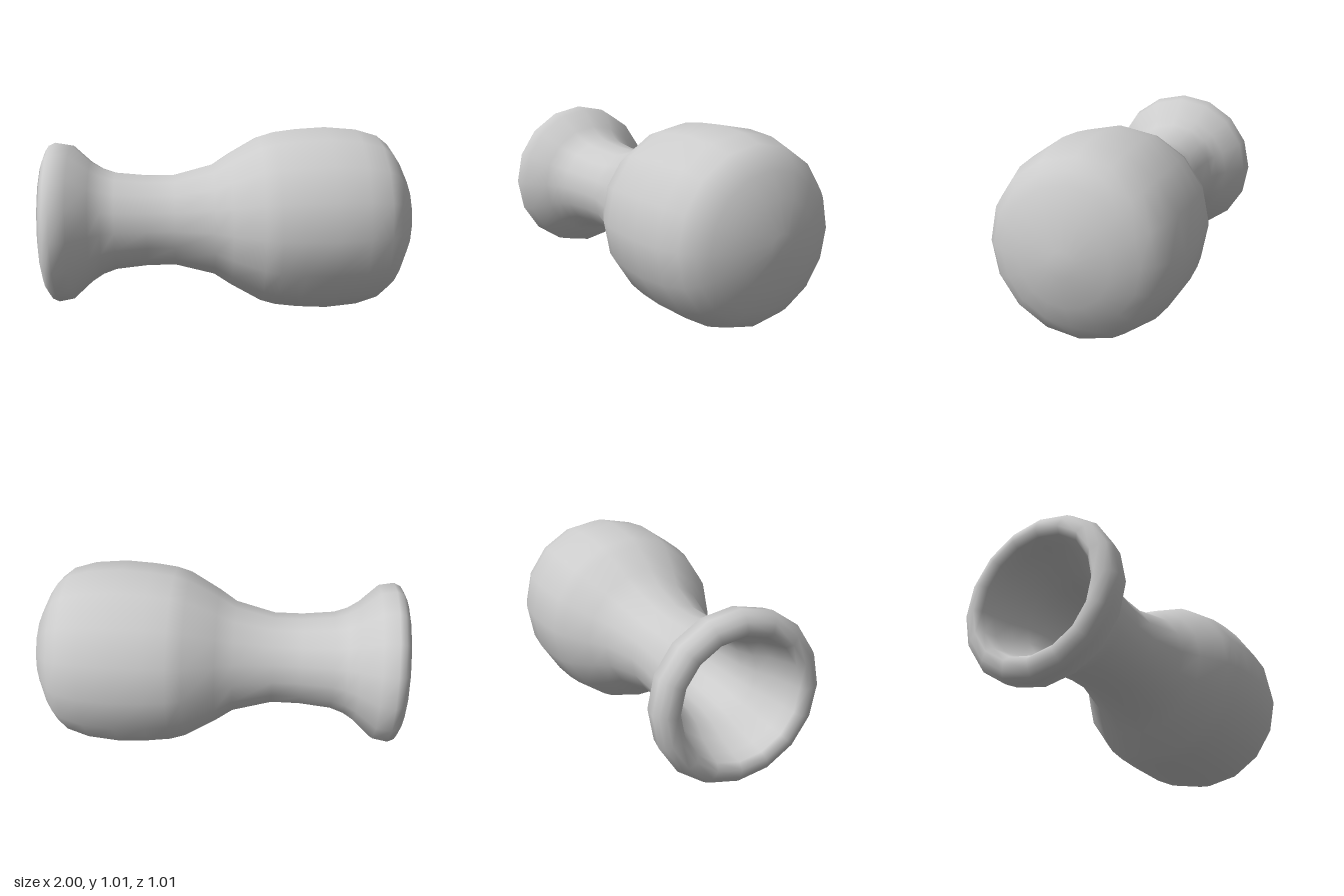
import * as THREE from 'three';

// Profiles are [position along the x axis, radius]
const INNER = [
  [0.92, 0], [0.91, 0.2], [0.84, 0.34], [0.76, 0.4], [0.52, 0.445], [0.26, 0.425],
  [0.16, 0.4], [0, 0.31], [-0.1, 0.25], [-0.3, 0.195], [-0.45, 0.195], [-0.62, 0.21],
  [-0.72, 0.235], [-0.8, 0.275], [-0.9, 0.3], [-0.97, 0.315],
];
const OUTER = [
  [-1, 0.345], [-0.985, 0.39], [-0.965, 0.42], [-0.93, 0.436], [-0.85, 0.422],
  [-0.75, 0.33], [-0.69, 0.292], [-0.62, 0.267], [-0.45, 0.25], [-0.3, 0.25],
  [-0.09, 0.305], [0, 0.365], [0.16, 0.456], [0.24, 0.48], [0.36, 0.495], [0.52, 0.504],
  [0.69, 0.489], [0.81, 0.453], [0.87, 0.405], [0.91, 0.345], [0.97, 0.225],
  [1, 0.065], [1, 0],
];

export function createModel() {
  const group = new THREE.Group();
  group.name = 'vase';

  // Hollow vase lying on its side: inner wall, rolled rim, outer wall and closed base
  const profile = [...INNER, ...OUTER].map(([x, r]) => new THREE.Vector2(r, x));
  const geometry = new THREE.LatheGeometry(profile, 16);
  geometry.rotateZ(-Math.PI / 2);
  geometry.translate(0, 0.504, 0);

  const body = new THREE.Mesh(
    geometry,
    new THREE.MeshStandardMaterial({ color: 0xcccccc })
  );
  body.name = 'vaseBody';
  group.add(body);
  return group;
}
